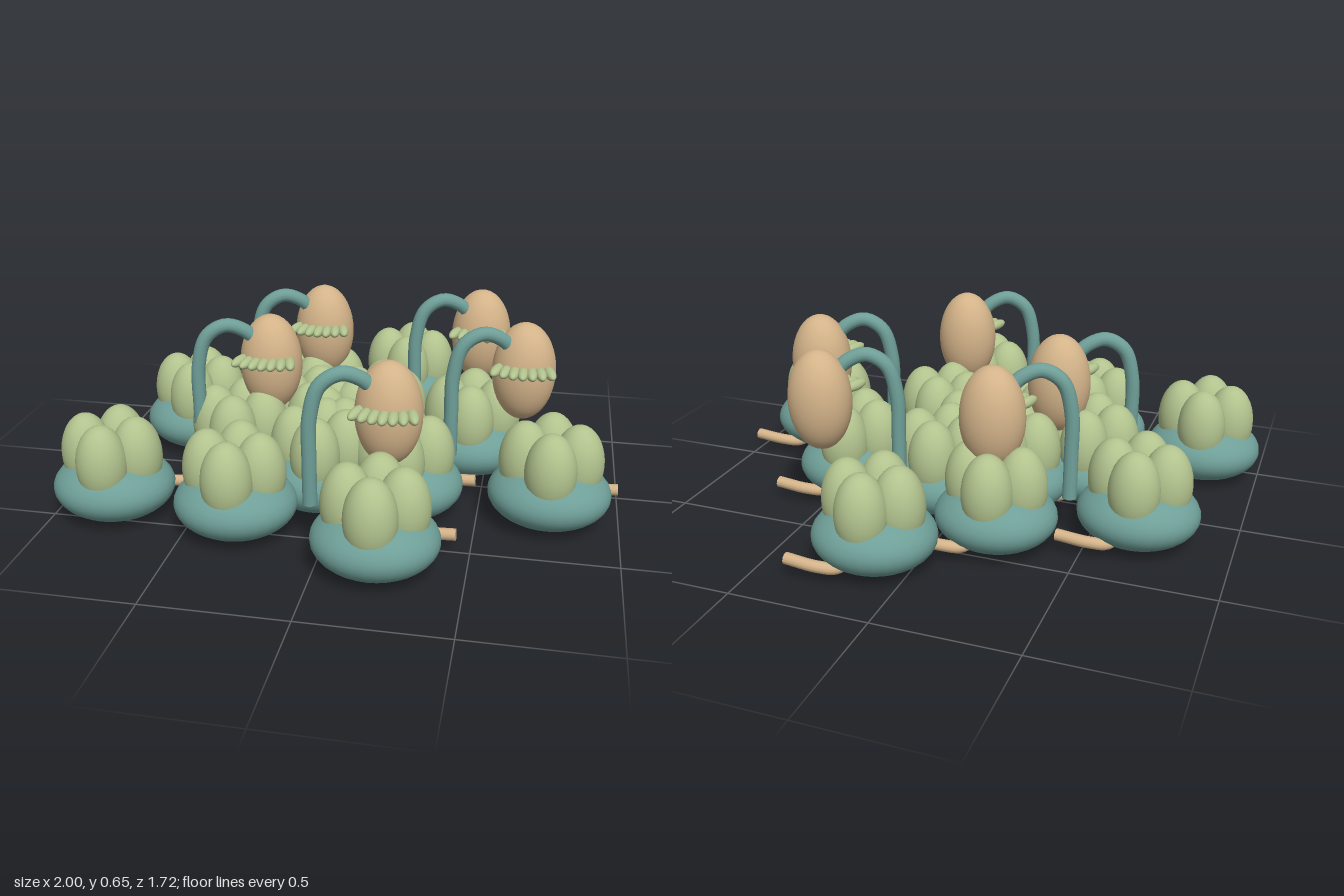
import * as THREE from 'three';

const teal = new THREE.MeshStandardMaterial({ color: 0x6f9f98 });
teal.name = 'teal';
const green = new THREE.MeshStandardMaterial({ color: 0xb2c38e });
green.name = 'leaf green';
const tan = new THREE.MeshStandardMaterial({ color: 0xd3b389 });
tan.name = 'tan';

const ball = new THREE.SphereGeometry(1, 32, 20);

function ellipsoid(name, material, x, y, z, rx, ry, rz) {
  const mesh = new THREE.Mesh(ball, material);
  mesh.name = name;
  mesh.position.set(x, y, z);
  mesh.scale.set(rx, ry, rz);
  return mesh;
}

// Tube along a smooth path, closed with flat discs
function cappedTube(name, material, points, radius, segments) {
  const curve = new THREE.CatmullRomCurve3(points.map((p) => new THREE.Vector3(...p)));
  const group = new THREE.Group();
  group.name = name;
  group.add(new THREE.Mesh(new THREE.TubeGeometry(curve, segments, radius, 12), material));
  for (const [t, sign] of [[0, -1], [1, 1]]) {
    const cap = new THREE.Mesh(new THREE.CircleGeometry(radius, 12), material);
    cap.position.copy(curve.getPoint(t));
    cap.lookAt(cap.position.clone().add(curve.getTangent(t).multiplyScalar(sign)));
    group.add(cap);
  }
  return group;
}

// Squat bulb with four fleshy lobes and a root poking out sideways
function createPlant(x, z) {
  const plant = new THREE.Group();
  plant.name = 'plant';
  plant.position.set(x, 0, z);
  plant.add(ellipsoid('bulb', teal, 0, 0.122, 0, 0.217, 0.117, 0.2));
  for (let i = 0; i < 4; i++) {
    const a = i * Math.PI / 2;
    plant.add(ellipsoid('lobe', green, 0.093 * Math.cos(a), 0.24, 0.093 * Math.sin(a), 0.09, 0.145, 0.09));
  }
  plant.add(cappedTube('root', tan,
    [[0.03, 0.08, -0.08], [0.07, 0.055, -0.145], [0.13, 0.06, -0.168], [0.25, 0.068, -0.165]], 0.021, 20));
  return plant;
}

// Hanging pod on a hooked stem, with a scalloped frill in front
function createPod(x, z) {
  const pod = new THREE.Group();
  pod.name = 'hangingPod';
  pod.position.set(x, 0, z);
  pod.add(ellipsoid('pod', tan, 0, 0.47, 0, 0.116, 0.185, 0.106));
  pod.add(cappedTube('hookedStem', teal, [
    [-0.25, 0.16, 0.105], [-0.25, 0.32, 0.11], [-0.247, 0.48, 0.11], [-0.215, 0.59, 0.1],
    [-0.15, 0.63, 0.08], [-0.09, 0.61, 0.055], [-0.04, 0.56, 0.03],
  ], 0.026, 40));
  for (let i = -3; i <= 3; i++) {
    const frond = ellipsoid('frillScallop', green, i * 0.031, 0.502, 0.115 - 0.0025 * i * i, 0.02, 0.019, 0.055);
    frond.rotation.y = i * 0.09;
    pod.add(frond);
  }
  return pod;
}

export function createModel() {
  const model = new THREE.Group();
  model.name = 'plantColony';

  // Scattered outer plants, then the crowded middle
  const plants = [
    [0.13, -0.665], [-0.205, -0.39], [-0.665, -0.2], [-0.785, 0.44], [-0.32, 0.49],
    [0.2, 0.655], [0.75, 0.22], [0.44, -0.16], [-0.41, 0.1],
    [0.075, -0.185], [0.23, 0.24], [-0.07, 0.24], [0, 0.04], [-0.16, -0.08],
  ];
  for (const [x, z] of plants) model.add(createPlant(x, z));

  const pods = [[-0.18, -0.36], [-0.3, -0.035 + 0.07], [0.445, -0.415], [0.63, -0.045], [0.205, 0.425]];
  for (const [x, z] of pods) model.add(createPod(x, z));

  return model;
}
